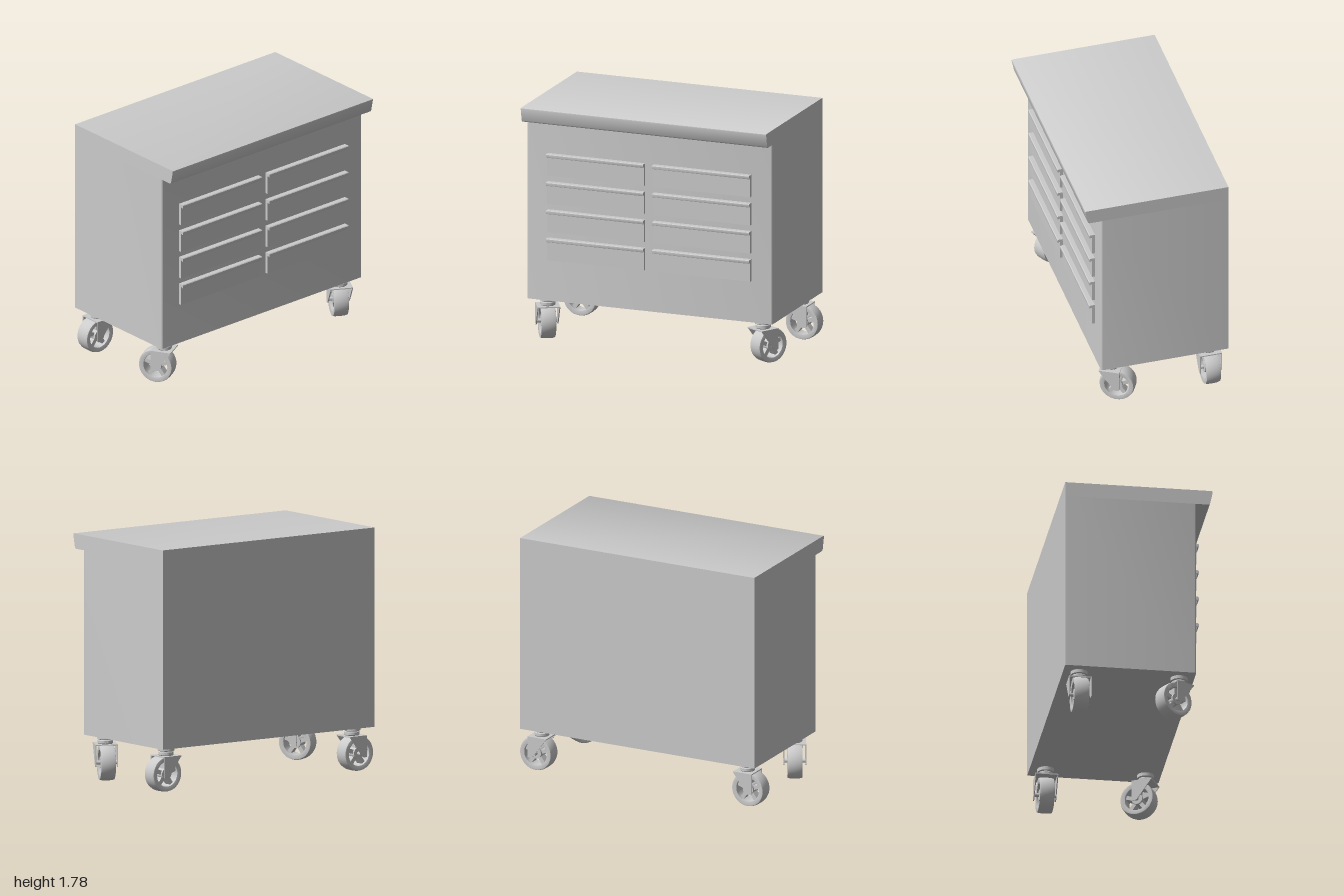
import * as THREE from 'three';
import { toCreasedNormals } from 'three/addons/utils/BufferGeometryUtils.js';

const grey = new THREE.MeshStandardMaterial({ color: 0xcccccc });

function part(name, geometry, parent, crease = 0.6) {
  const mesh = new THREE.Mesh(toCreasedNormals(geometry, crease), grey);
  mesh.name = name;
  parent.add(mesh);
  return mesh;
}

// Side profile given as [z, y] points, swept along x and centred on x = 0
function sweepX(points, width) {
  const shape = new THREE.Shape(points.map(([z, y]) => new THREE.Vector2(z, y)));
  const g = new THREE.ExtrudeGeometry(shape, { depth: width, bevelEnabled: false });
  return g.translate(0, 0, -width / 2).rotateY(-Math.PI / 2);
}

// Cabinet box with softly rounded front corners
function cabinetGeometry() {
  const w = 0.96, back = 0.54, front = -0.42, r = 0.018;
  const s = new THREE.Shape();
  s.moveTo(-w, back);
  s.lineTo(-w, front + r);
  s.quadraticCurveTo(-w, front, -w + r, front);
  s.lineTo(w - r, front);
  s.quadraticCurveTo(w, front, w, front + r);
  s.lineTo(w, back);
  const g = new THREE.ExtrudeGeometry(s, { depth: 1.35, bevelEnabled: false, curveSegments: 6 });
  return g.rotateX(-Math.PI / 2).translate(0, 0.325, 0);
}

// Wheel with its axle along x
function makeWheel() {
  const wheel = new THREE.Group();
  wheel.name = 'wheel';
  const ring = [
    [0.092, -0.05], [0.118, -0.055], [0.125, -0.053], [0.13, -0.035], [0.131, 0],
    [0.13, 0.035], [0.125, 0.053], [0.118, 0.055], [0.092, 0.05], [0.092, -0.05],
  ].map(([x, y]) => new THREE.Vector2(x, y));
  part('tyre', new THREE.LatheGeometry(ring, 48).rotateZ(Math.PI / 2), wheel);
  part('hub', new THREE.CylinderGeometry(0.042, 0.042, 0.09, 28).rotateZ(Math.PI / 2), wheel);
  part('axle', new THREE.CylinderGeometry(0.014, 0.014, 0.16, 16).rotateZ(Math.PI / 2), wheel);
  for (let i = 0; i < 5; i++) {
    const spoke = new THREE.BoxGeometry(0.06, 0.062, 0.03).translate(0, 0.066, 0);
    part('spoke', spoke.rotateX((i * Math.PI * 2) / 5), wheel);
  }
  return wheel;
}

// Swivel caster: stem on the local y axis, wheel trailing towards local -z
function makeCaster(trail) {
  const caster = new THREE.Group();
  const stem = [
    [0, 0.26], [0.05, 0.26], [0.056, 0.268], [0.056, 0.288], [0.051, 0.294],
    [0.062, 0.3], [0.062, 0.325], [0, 0.325],
  ].map(([x, y]) => new THREE.Vector2(x, y));
  part('stem', new THREE.LatheGeometry(stem, 36), caster);
  part('forkTop', new THREE.BoxGeometry(0.166, 0.008, 0.152).translate(0, 0.259, 0), caster);
  const plate = [[-0.076, 0.263], [-0.076, 0.108], [-0.07, 0.103], [-0.048, 0.103], [-0.036, 0.11], [0.076, 0.258], [0.076, 0.263]];
  for (const side of [-1, 1]) {
    part('forkPlate', sweepX(plate, 0.007), caster).position.x = side * 0.0795;
  }
  const wheel = makeWheel();
  wheel.position.set(0, 0.131, -trail);
  caster.add(wheel);
  return caster;
}

export function createModel() {
  const model = new THREE.Group();
  model.name = 'toolCabinet';

  part('cabinet', cabinetGeometry(), model);

  // Worktop with an overhanging, slanted front lip
  part('worktop', sweepX([
    [-0.54, 1.675], [0.508, 1.675], [0.515, 1.678], [0.521, 1.687],
    [0.54, 1.774], [0.539, 1.782], [0.534, 1.785], [-0.54, 1.785],
  ], 1.92), model);

  // Drawer fronts, each with a hooked pull along its top edge
  const drawer = [
    [0.415, 0], [0.443, 0], [0.443, 0.143], [0.451, 0.143], [0.453, 0.139], [0.46, 0.139],
    [0.462, 0.143], [0.462, 0.16], [0.457, 0.165], [0.415, 0.165],
  ];
  for (let row = 0; row < 4; row++) {
    for (const side of [-1, 1]) {
      part('drawer', sweepX(drawer, 0.76), model).position.set(side * 0.415, 0.635 + row * 0.2115, 0);
    }
  }

  // Front casters swivelled partly outwards, rear ones fully sideways
  for (const side of [-1, 1]) {
    const front = makeCaster(0.05);
    front.name = 'frontCaster';
    front.position.set(side * 0.842, 0, 0.309);
    front.rotation.y = -side * THREE.MathUtils.degToRad(29);
    const rear = makeCaster(0.027);
    rear.name = 'rearCaster';
    rear.position.set(side * 0.842, 0, -0.422);
    rear.rotation.y = -side * Math.PI / 2;
    model.add(front, rear);
  }
  return model;
}
